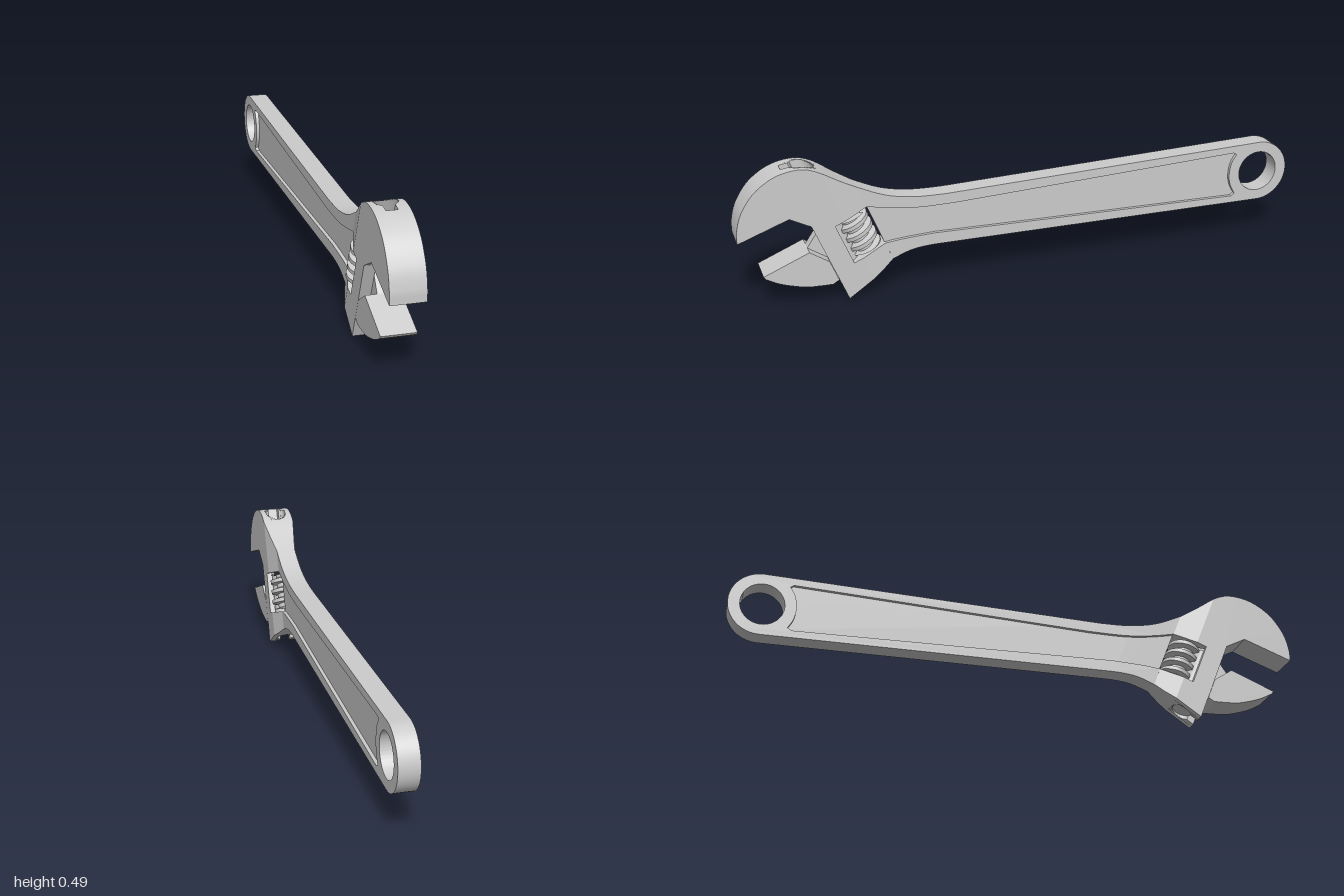
import * as THREE from 'three';
import { mergeGeometries, toCreasedNormals } from 'three/addons/utils/BufferGeometryUtils.js';

// Profiles are drawn as [z, y]; u runs out along the jaws, v along the slide.
const TILT = 0.384, C = Math.cos(TILT), S = Math.sin(TILT);
const U = (p) => p[0] * C - p[1] * S;
const V = (p) => p[0] * S + p[1] * C;
const fromUV = (u, v) => [u * C + v * S, -u * S + v * C];

const RIM = 0.035, FLOOR = 0.023, HEAD = 0.057;          // half thicknesses
const WIN = { u0: 0.404, u1: 0.526, v0: 0.353, v1: 0.506 }; // worm window
const CREASE = 0.49;                                      // cheek reaches full width
const CH = 0.536, R = 0.037, SLOT = 0.019;                // slide channel and slot

const cheek = (u) => RIM + (HEAD - RIM) * THREE.MathUtils.clamp((u - WIN.u0) / (CREASE - WIN.u0), 0, 1);
const bore = (x) => Math.sqrt(Math.max(0, R * R - x * x));
const spline = (pts, n) =>
  new THREE.SplineCurve(pts.map((p) => new THREE.Vector2(...p))).getPoints(n).map((p) => [p.x, p.y]);

// Keep the part of a polygon where sign * (f - limit) >= 0
function clip(poly, f, limit, sign) {
  const out = [];
  poly.forEach((a, i) => {
    const b = poly[(i + 1) % poly.length];
    const da = sign * (f(a) - limit), db = sign * (f(b) - limit);
    if (da >= 0) out.push(a);
    if ((da > 0 && db < 0) || (da < 0 && db > 0)) {
      const t = da / (da - db);
      out.push([a[0] + (b[0] - a[0]) * t, a[1] + (b[1] - a[1]) * t]);
    }
  });
  return out;
}

function slab(poly, x0, x1, hole) {
  const shape = new THREE.Shape(poly.map((p) => new THREE.Vector2(...p)));
  if (hole) shape.holes.push(hole);
  return new THREE.ExtrudeGeometry(shape, { depth: x1 - x0, bevelEnabled: false, curveSegments: 44 }).translate(0, 0, x0);
}

// Move each vertex by a rule (u, x) -> [new u, new x]
function bend(geo, rule) {
  const pos = geo.attributes.position;
  for (let i = 0; i < pos.count; i++) {
    const p = [pos.getX(i), pos.getY(i)];
    const [u, x] = rule(U(p), pos.getZ(i));
    pos.setXYZ(i, ...fromUV(u, V(p)), x);
  }
  return geo;
}

function mesh(name, geos, crease = 0.22) {
  const parts = geos.map((g) => {
    const n = g.index ? g.toNonIndexed() : g;
    n.deleteAttribute('uv');
    return n;
  });
  const geo = toCreasedNormals(mergeGeometries(parts), crease).rotateY(-Math.PI / 2);
  const m = new THREE.Mesh(geo, new THREE.MeshStandardMaterial({ color: 0xcccccc }));
  m.name = name;
  return m;
}

// Handle with a hanging hole and a sunken panel on each side
function handle() {
  const arc = [];
  for (let i = 0; i <= 24; i++) {
    const a = Math.PI / 2 + (Math.PI * i) / 24;
    arc.push([-0.889 + 0.111 * Math.cos(a), 0.252 + 0.111 * Math.sin(a)]);
  }
  const outline = [
    ...spline([[0.594, 0.392], [0.5, 0.351], [0.4, 0.331], [0.29, 0.327]], 16),
    ...arc,
    ...spline([[0.3, 0.146], [0.36, 0.145], [0.42, 0.137], [0.482, 0.114]], 14),
  ];
  const panel = [
    ...spline([fromUV(WIN.u0, WIN.v0), [0.44, 0.183], [0.33, 0.188]], 10),
    [-0.07, 0.18], [-0.785, 0.167],
    ...spline([[-0.798, 0.176], [-0.78, 0.21], [-0.773, 0.25], [-0.78, 0.295], [-0.798, 0.326]], 16),
    [-0.787, 0.334],
    ...spline([[0.25, 0.29], [0.38, 0.29], [0.48, 0.301], fromUV(WIN.u0, WIN.v1)], 10),
  ];
  const hole = () => new THREE.Path().absarc(-0.886, 0.252, 0.074, 0, Math.PI * 2, true);
  const rim = [...outline, ...panel];
  return mesh('handle', [
    slab(outline, -FLOOR, FLOOR, hole()),
    slab(rim, FLOOR, RIM, hole()),
    slab(rim, -RIM, -FLOOR, hole()),
  ]);
}

// Head with fixed jaw, worm window and keyhole slide channel
function head() {
  const outline = [
    ...spline([[1, 0.262], [0.998, 0.3], [0.98, 0.36], [0.934, 0.426], [0.865, 0.472],
      [0.79, 0.487], [0.73, 0.473], [0.65, 0.424], [0.594, 0.392]], 48),
    [0.482, 0.114], [0.517, 0.086],
    fromUV(0.595, 0.241), fromUV(0.595, 0.545), [0.827, 0.319], [1, 0.255],
  ];
  const between = (a, b) => clip(clip(outline, U, a, 1), U, b, -1);
  const roundWindow = (poly) => [clip(poly, V, WIN.v1, 1), clip(poly, V, WIN.v0, -1)];
  const geos = [];

  // tapered cheeks above and below the window
  for (const p of roundWindow(clip(outline, U, CREASE, -1)))
    geos.push(bend(slab(p, -1, 1), (u, x) => [u, x * cheek(u)]));

  // outer plates on each side of the channel
  for (const p of [...roundWindow(between(CREASE, WIN.u1)), clip(outline, U, WIN.u1, 1)])
    geos.push(slab(p, R, HEAD), slab(p, -HEAD, -R));

  // thin layers shaped to the round bore
  const steps = [0, 0.01, SLOT, 0.026, 0.032, 0.0355, R];
  for (let i = 0; i < steps.length - 1; i++) {
    const a = steps[i], b = steps[i + 1], w = bore((a + b) / 2);
    for (const [x0, x1] of [[a, b], [-b, -a]]) {
      const carve = (cut, sign) => (u, x) => [Math.abs(u - cut) < 1e-5 ? CH + sign * bore(x) : u, x];
      for (const p of roundWindow(between(CREASE, CH - w)))
        geos.push(bend(slab(p, x0, x1), carve(CH - w, -1)));
      if (a >= SLOT) geos.push(bend(slab(clip(outline, U, CH + w, 1), x0, x1), carve(CH + w, 1)));
      else geos.push(slab(clip(outline, U, 0.597, 1), x0, x1));
    }
  }
  return mesh('headWithFixedJaw', geos);
}

// Place a y-axis geometry on the slide direction
const onSlide = (geo, u, v) => geo.rotateZ(-TILT).translate(...fromUV(u, v), 0);

// Sliding jaw: wide lip, thin neck and round rack
function slidingJaw() {
  const lip = [
    [0.924, 0.126], [0.768, 0.191], fromUV(0.596, 0.4), fromUV(0.596, 0.323),
    ...spline([[0.695, 0.063], [0.74, 0.064], [0.79, 0.068], [0.865, 0.09], [0.918, 0.117]], 20),
  ];
  const neck = [[0.768, 0.191], fromUV(0.588, 0.5), fromUV(CH, 0.5), fromUV(CH, 0.262),
    fromUV(0.59, 0.3), fromUV(0.61, 0.33)];
  const rack = new THREE.CylinderGeometry(0.035, 0.035, 0.238, 40);
  return mesh('slidingJaw', [
    slab(lip, -HEAD, HEAD),
    slab(neck, -0.0185, 0.0185),
    onSlide(rack, CH, 0.381),
  ]);
}

// Adjusting worm: core, pin and a helical thread trimmed flat at both ends
function worm() {
  const half = 0.066, pitch = 0.038, seg = 36, turns = 4.4, n = Math.round(seg * turns);
  const section = [[0.028, -0.013], [0.056, -0.007], [0.056, 0.007], [0.028, 0.013]];
  const pos = [], idx = [];
  for (let i = 0; i <= n; i++) {
    const a = (i / seg) * Math.PI * 2, y = (i / seg - turns / 2) * pitch;
    for (const [r, dy] of section)
      pos.push(r * Math.cos(a), THREE.MathUtils.clamp(y + dy, -half, half), -r * Math.sin(a));
  }
  for (let i = 0; i < n; i++)
    for (let k = 0; k < 4; k++) {
      const a = i * 4 + k, b = i * 4 + ((k + 1) % 4);
      idx.push(a, a + 4, b, b, a + 4, b + 4);
    }
  const thread = new THREE.BufferGeometry();
  thread.setAttribute('position', new THREE.Float32BufferAttribute(pos, 3));
  thread.setIndex(idx);
  thread.computeVertexNormals();
  thread.setAttribute('uv', new THREE.Float32BufferAttribute(new Float32Array((pos.length / 3) * 2), 2));
  const u = (WIN.u0 + WIN.u1) / 2, v = (WIN.v0 + WIN.v1) / 2;
  return mesh('adjustingWorm', [
    onSlide(thread, u, v),
    onSlide(new THREE.CylinderGeometry(0.034, 0.034, half * 2, 36), u, v),
    onSlide(new THREE.CylinderGeometry(0.014, 0.014, 0.17, 24), u, v),
  ], 0.5);
}

export function createModel() {
  const group = new THREE.Group();
  group.name = 'adjustableWrench';
  group.add(handle(), head(), slidingJaw(), worm());
  return group;
}
